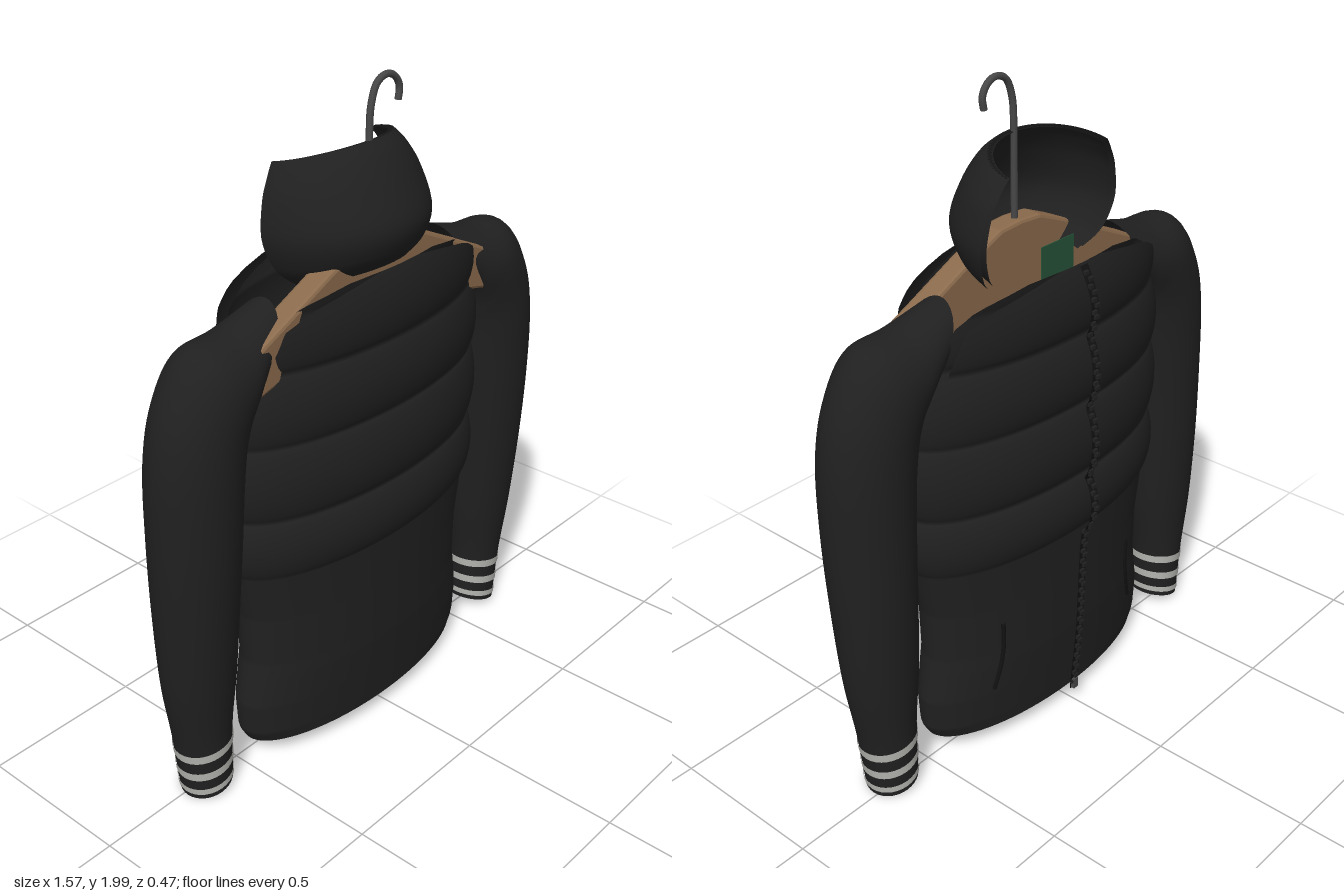
import * as THREE from 'three';
import { ParametricGeometry } from 'three/addons/geometries/ParametricGeometry.js';
import { mergeGeometries } from 'three/addons/utils/BufferGeometryUtils.js';

const mat = (name, color, side = THREE.DoubleSide) => {
  const m = new THREE.MeshStandardMaterial({ color, side });
  m.name = name;
  return m;
};

// Piecewise-linear lookup in [position, value] pairs
function lookup(list, p) {
  if (p <= list[0][0]) return list[0][1];
  for (let i = 1; i < list.length; i++) {
    const [a, va] = list[i - 1], [b, vb] = list[i];
    if (p <= b) return va + (vb - va) * (p - a) / (b - a);
  }
  return list[list.length - 1][1];
}

// Smooth interpolation through rows of numbers, t from 0 to 1
function smoothRows(rows, t) {
  const f = Math.min(Math.max(t, 0), 1) * (rows.length - 1);
  const i = Math.min(Math.floor(f), rows.length - 2), k = f - i;
  const row = (n) => rows[Math.min(Math.max(n, 0), rows.length - 1)];
  const [p, q, r, s] = [row(i - 1), row(i), row(i + 1), row(i + 2)];
  return q.map((v, c) => v + 0.5 * k * (r[c] - p[c] +
    k * (2 * p[c] - 5 * v + 4 * r[c] - s[c] + k * (3 * (v - r[c]) + s[c] - p[c]))));
}

// Quilted body: half width, half depth and armhole limits by height
const MID_Z = 0.02, HEM = 0.065, TOP = 1.508;
const SEAMS = [0.66, 0.85, 1.08, 1.3, 1.53];
const WIDTH = [[0.065, 0.46], [0.1, 0.48], [0.2, 0.485], [0.35, 0.457], [0.5, 0.46], [0.66, 0.49], [1.08, 0.505], [1.3, 0.49], [1.51, 0.47]];
const DEPTH = [[0.065, 0.16], [0.3, 0.178], [0.66, 0.185], [1.3, 0.18], [1.51, 0.165]];
const LIMIT = [[1.26, 0.6], [1.285, 0.435], [1.35, 0.425], [1.42, 0.4], [1.46, 0.33], [1.49, 0.2], [1.508, 0.08]];

function puff(y) {
  for (let i = 1; i < SEAMS.length; i++) {
    const t = (y - SEAMS[i - 1]) / (SEAMS[i] - SEAMS[i - 1]);
    if (t > 0 && t < 1) return Math.pow(Math.sin(Math.PI * t), 0.6);
  }
  return 0;
}
const bodyWidth = (y) => lookup(WIDTH, y) + 0.025 * puff(y);
const bodyDepth = (y) => lookup(DEPTH, y) + 0.03 * puff(y);
const chestZ = (x, y) => MID_Z - bodyDepth(y) * Math.sqrt(1 - (x / bodyWidth(y)) ** 2);

// One half of the body: up the outside, over the top edge, down the lining
function bodyPanel(side) {
  return new ParametricGeometry((u, v, p) => {
    const inside = v > 0.5;
    const y = HEM + (TOP - HEM) * (inside ? 2 - 2 * v : 2 * v);
    const inset = inside ? 0.05 * lookup([[0.1, 0], [0.66, 1], [1.45, 1], [TOP, 0.4]], y) : 0;
    const w = bodyWidth(y) - inset * 0.5, d = bodyDepth(y) - inset;
    const max = Math.asin(Math.min(1, lookup(LIMIT, y) / w));
    const a = (2 * u - 1) * max;
    p.set(w * Math.sin(a), y, MID_Z + side * d * Math.cos(a));
  }, 40, 200);
}

// Sleeve rings: inner x, y, outer x, y, centre z, half depth
const SLEEVE = [
  [0.48, 1.23, 0.355, 1.475, 0.03, 0.09],
  [0.485, 1.2, 0.5, 1.435, 0.035, 0.115],
  [0.49, 1.15, 0.645, 1.415, 0.037, 0.125],
  [0.495, 1.1, 0.738, 1.29, 0.037, 0.125],
  [0.505, 1.0, 0.78, 1.13, 0.037, 0.125],
  [0.515, 0.84, 0.787, 0.9, 0.034, 0.122],
  [0.525, 0.65, 0.78, 0.65, 0.027, 0.115],
  [0.535, 0.42, 0.765, 0.4, 0.02, 0.1],
  [0.555, 0.23, 0.735, 0.2, 0.016, 0.085],
  [0.56, 0.045, 0.713, 0.008, 0.014, 0.08],
];
// A stretch of sleeve between t0 and t1, mirrored by side and swollen by grow
function sleevePiece(side, t0, t1, rows, grow = 0) {
  return new ParametricGeometry((u, v, p) => {
    const [ix, iy, ox, oy, cz, hz] = smoothRows(SLEEVE, t0 + (t1 - t0) * v);
    const a = u * Math.PI * 2, hx = (ox - ix) / 2, c = Math.cos(a);
    p.set(side * ((ix + ox) / 2 + (hx + grow) * c), (iy + oy) / 2 + c * (oy - iy) / 2, cz + (hz + grow) * Math.sin(a));
  }, 32, rows);
}

// Collar rows: half width, back z, edge z, back y, edge y
const COLLAR = [
  [0.2, 0.16, 0, 1.495, 1.45],
  [0.25, 0.205, -0.03, 1.55, 1.5],
  [0.28, 0.222, -0.05, 1.625, 1.59],
  [0.265, 0.18, -0.06, 1.725, 1.69],
  [0.235, 0.135, -0.068, 1.795, 1.75],
  [0.21, 0.095, -0.075, 1.828, 1.785],
];
function collarGeometry() {
  return new ParametricGeometry((u, v, p) => {
    const inside = v > 0.5;
    const [rx, zb, ze, yb, ye] = smoothRows(COLLAR, inside ? 2 - 2 * v : 2 * v);
    const a = (u - 0.5) * Math.PI, c = Math.max(0, Math.cos(a));
    const inset = inside ? 0.022 : 0;
    p.set((rx - inset) * Math.sin(a), ye + (yb - ye) * c, ze + (zb - inset - ze) * c);
  }, 40, 48);
}

export function createModel() {
  const group = new THREE.Group();
  const fabric = mat('black fabric', 0x202020);
  const trim = mat('dark trim', 0x121212);
  const stripe = mat('pale stripe', 0xb4b4b0);
  const wood = mat('hanger wood', 0x8a6a4c, THREE.FrontSide);
  const metal = mat('hook metal', 0x484848, THREE.FrontSide);
  const green = mat('green label', 0x245238);
  const add = (name, geometry, material) => {
    const m = new THREE.Mesh(geometry, material);
    m.name = name;
    group.add(m);
    return m;
  };

  add('backPanel', bodyPanel(1), fabric);
  add('chestPanel', bodyPanel(-1), fabric);
  add('collar', collarGeometry(), fabric);

  for (const side of [1, -1]) {
    const label = side > 0 ? 'left' : 'right';
    add(label + 'Sleeve', sleevePiece(side, 0, 1, 72), fabric);
    // Three thin bands round the cuff
    for (const t of [0.902, 0.936, 0.97])
      add(label + 'CuffStripe', sleevePiece(side, t, t + 0.014, 2, 0.003), stripe);
    // Slanted pocket slit
    const slit = [[0.29, 0.45], [0.288, 0.37], [0.3, 0.29], [0.32, 0.22]]
      .map(([x, y]) => new THREE.Vector3(side * x, y, chestZ(x, y) - 0.002));
    add(label + 'Pocket', new THREE.TubeGeometry(new THREE.CatmullRomCurve3(slit), 16, 0.007, 6), trim);
  }

  // Zip: a tape standing just off the chest, with staggered teeth
  const zipZ = (y) => chestZ(0, y) - lookup([[0.06, 0.012], [0.6, 0.02], [0.75, 0.03], [1.4, 0.028], [1.5, 0.008]], y);
  add('zipTape', new ParametricGeometry((u, v, p) => {
    const y = 0.055 + 1.45 * v;
    p.set((u - 0.5) * 0.032, y, zipZ(y));
  }, 1, 80), trim);
  const teeth = [];
  for (let i = 0; i < 80; i++) {
    const y = 0.065 + i * 0.018;
    teeth.push(new THREE.BoxGeometry(0.016, 0.011, 0.01).translate(i % 2 ? 0.005 : -0.005, y, zipZ(y) - 0.003));
  }
  add('zipTeeth', mergeGeometries(teeth), fabric);
  add('zipSlider', new THREE.BoxGeometry(0.02, 0.035, 0.014), metal).position.set(0, 0.075, zipZ(0.075) - 0.004);

  // Wooden hanger, right half of the outline mirrored to the left
  const half = [[0, 1.565], [0.08, 1.56], [0.2, 1.51], [0.37, 1.43], [0.49, 1.375], [0.515, 1.31], [0.48, 1.265], [0.3, 1.31], [0.12, 1.36], [0, 1.365]];
  const mirror = half.slice(1, -1).reverse().map(([x, y]) => [-x, y]);
  const outline = new THREE.Shape([...half, ...mirror].map(([x, y]) => new THREE.Vector2(x, y)));
  const bar = new THREE.ExtrudeGeometry(outline, { depth: 0.05, bevelEnabled: true, bevelSize: 0.01, bevelThickness: 0.012, bevelSegments: 2 });
  add('hangerBar', bar.translate(0, 0, 0.067), wood);

  // Metal hook
  const hook = [[0, 1.55], [0, 1.72], [0, 1.84], [0.006, 1.92], [0.03, 1.975], [0.07, 1.99], [0.105, 1.975], [0.122, 1.945], [0.117, 1.91]]
    .map(([x, y]) => new THREE.Vector3(x - 0.003, y, 0.085));
  add('hangerHook', new THREE.TubeGeometry(new THREE.CatmullRomCurve3(hook), 48, 0.01, 8), metal);

  // Neck label
  add('neckLabel', new THREE.BoxGeometry(0.135, 0.1, 0.003), green).position.set(0, 1.5, -0.075);

  return group;
}
